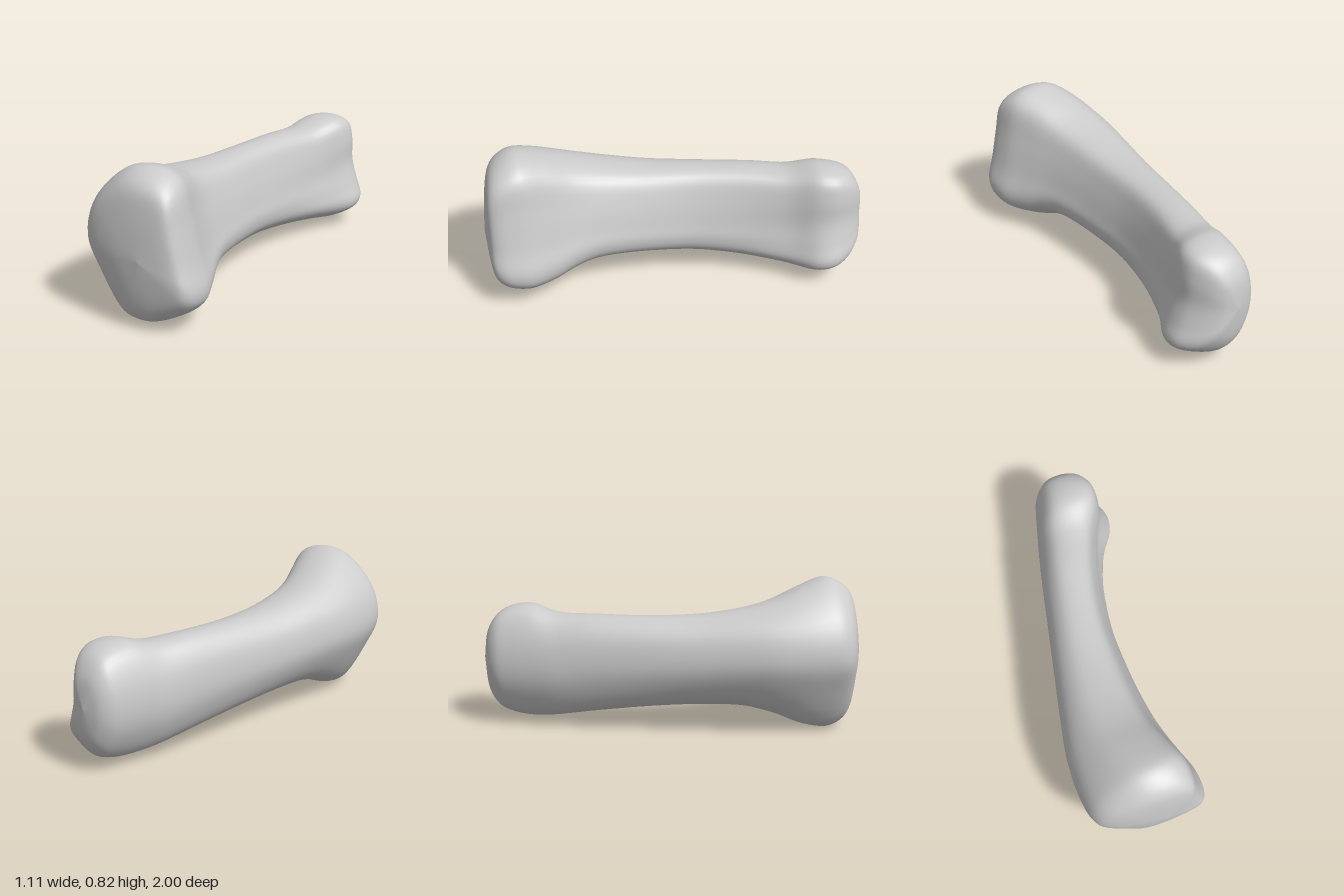
import * as THREE from 'three';

// Cross-section outlines in unit space: left, over the top, right, underneath
const BASE = [[-1, .05], [-.84, .53], [-.32, .93], [.2, 1], [.6, .84], [.74, .4], [.88, -.1],
  [1, -.46], [.87, -.7], [.32, -.95], [-.08, -1], [-.42, -.88], [-.79, -.38]];
const SHAFT = [[-1, .08], [-.87, .6], [-.5, .93], [0, 1], [.48, .87], [.74, .42], [.92, -.1],
  [1, -.43], [.88, -.73], [.45, -.96], [-.1, -.98], [-.58, -.78], [-.9, -.35]];
const HEAD = [[-1, 0], [-.9, .5], [-.58, .9], [-.05, 1], [.49, .9], [.65, .56], [.68, .12],
  [.85, -.28], [1, -.58], [.82, -.78], [.1, -1], [-.48, -.88], [-.87, -.45]];
const OUTLINES = [BASE, SHAFT, HEAD];

// Stations along the bone: left x, left z, right x, right z, bottom y, top y,
// outline blend (0 base, 1 shaft, 2 head)
const STATIONS = [
  [-.215, .98, -.215, .98, .39, .39, 0],
  [-.36, .93, -.07, .998, .22, .58, 0],
  [-.47, .875, .01, .992, .1, .72, 0],
  [-.535, .82, .06, .935, .035, .785, 0],
  [-.556, .74, .085, .82, 0, .82, 0],
  [-.538, .6, .07, .68, .025, .778, .25],
  [-.485, .42, .055, .55, .09, .715, .6],
  [-.4, .23, .055, .42, .13, .67, .9],
  [-.29, 0, .085, .2, .133, .635, 1],
  [-.17, -.25, .15, -.08, .115, .624, 1],
  [-.05, -.5, .26, -.33, .08, .625, 1.2],
  [.035, -.67, .4, -.54, .045, .625, 1.6],
  [.1, -.79, .52, -.66, .03, .664, 1.9],
  [.155, -.89, .555, -.76, .045, .655, 2],
  [.2, -.96, .525, -.865, .09, .612, 1.95],
  [.265, -.995, .46, -.95, .19, .52, 1.85],
  [.36, -.995, .36, -.995, .37, .37, 1.8],
];

const AROUND = 60, ALONG = 72;

// One smooth closed ring at a station
function ring([lx, lz, rx, rz, y0, y1, blend]) {
  const k = Math.min(Math.floor(blend), 1);
  const points = OUTLINES[k].map(([u0, v0], n) => {
    const [u1, v1] = OUTLINES[k + 1][n];
    const u = THREE.MathUtils.lerp(u0, u1, blend - k);
    const v = THREE.MathUtils.lerp(v0, v1, blend - k);
    return new THREE.Vector3(
      (lx + rx) / 2 + u * (rx - lx) / 2,
      (y0 + y1) / 2 + v * (y1 - y0) / 2,
      (lz + rz) / 2 + u * (rz - lz) / 2);
  });
  const curve = new THREE.CatmullRomCurve3(points, true, 'catmullrom', 0.5);
  return Array.from({ length: AROUND }, (_, j) => curve.getPoint(j / AROUND));
}

// Skin the rings with smooth lengthwise curves
function loft(rings) {
  const position = [], index = [];
  const columns = Array.from({ length: AROUND }, (_, j) =>
    new THREE.CatmullRomCurve3(rings.map(r => r[j]), false, 'catmullrom', 0.45));
  for (let i = 0; i <= ALONG; i++) {
    for (let j = 0; j < AROUND; j++) {
      const p = columns[j].getPoint(i / ALONG);
      position.push(p.x, p.y, p.z);
      if (i === ALONG) continue;
      const a = i * AROUND + j, b = i * AROUND + (j + 1) % AROUND;
      index.push(a, b, a + AROUND, b, b + AROUND, a + AROUND);
    }
  }
  const geometry = new THREE.BufferGeometry();
  geometry.setAttribute('position', new THREE.Float32BufferAttribute(position, 3));
  geometry.setIndex(index);
  geometry.computeVertexNormals();
  return geometry;
}

export function createModel() {
  const group = new THREE.Group();
  group.name = 'bone';
  // Flared base, waisted shaft and two-lobed head as one continuous skin
  const bone = new THREE.Mesh(loft(STATIONS.map(ring)),
    new THREE.MeshStandardMaterial({ color: 0xcccccc }));
  bone.name = 'boneBody';
  group.add(bone);
  return group;
}
